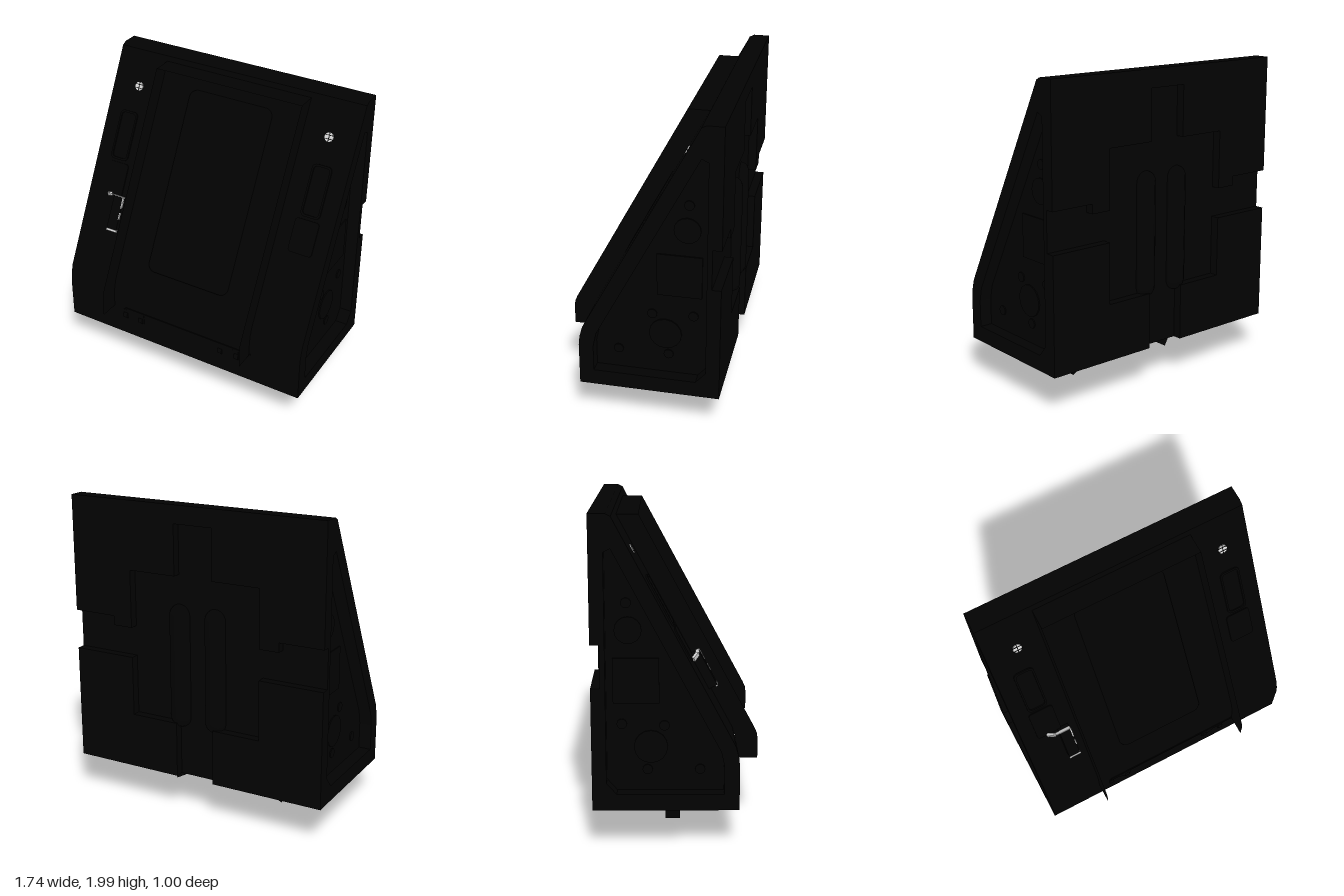
import * as THREE from 'three';

const mat = (name, color, side = THREE.FrontSide) => {
  const m = new THREE.MeshStandardMaterial({ color, side });
  m.name = name;
  return m;
};

export function createModel() {
  const black = mat('black', 0x020202);
  const blackSheet = mat('black sheet', 0x020202, THREE.DoubleSide);
  const light = mat('light grey', 0xd4d4d4);
  const root = new THREE.Group();

  const add = (name, geo, m = black, parent = root) => {
    const mesh = new THREE.Mesh(geo, m);
    mesh.name = name;
    parent.add(mesh);
    return mesh;
  };
  const poly = (pts) => new THREE.Shape(pts.map(([a, b]) => new THREE.Vector2(a, b)));
  const extrude = (shape, depth) =>
    new THREE.ExtrudeGeometry(shape, { depth, bevelEnabled: false, curveSegments: 8 });
  // extrude a (z, y) profile along x, centred on cx
  const acrossX = (shape, width, cx) =>
    extrude(shape, width).rotateY(-Math.PI / 2).translate(cx + width / 2, 0, 0);
  const roundRect = (w, h, r) => {
    const s = new THREE.Shape();
    s.moveTo(-w / 2 + r, -h / 2);
    s.absarc(w / 2 - r, -h / 2 + r, r, -Math.PI / 2, 0);
    s.absarc(w / 2 - r, h / 2 - r, r, 0, Math.PI / 2);
    s.absarc(-w / 2 + r, h / 2 - r, r, Math.PI / 2, Math.PI);
    s.absarc(-w / 2 + r, -h / 2 + r, r, Math.PI, Math.PI * 1.5);
    return s;
  };

  // sloping front: z as a function of y, and a mount whose local z is the slope normal
  const slope = 0.533;
  const slopeZ = (y) => -0.35 + (1.95 - y) * slope;
  const stretch = Math.hypot(1, slope);
  const mount = (name, x, y) => {
    const g = new THREE.Group();
    g.name = name;
    g.position.set(x, y, slopeZ(y));
    g.rotation.x = -Math.atan(slope);
    root.add(g);
    return g;
  };

  // wedge housing
  const front = [[0.37, 0.52], [0.363, 0.58], [0.345, 0.645], [-0.35, 1.95], [-0.365, 1.98], [-0.395, 1.995], [-0.44, 1.995]];
  add('housing', acrossX(poly([[-0.44, 0.34], [0.37, 0.34], ...front]), 1.58, 0));

  // underside slab with an octagonal well
  const base = poly([[-0.79, -0.44], [0.79, -0.44], [0.79, 0.37], [-0.79, 0.37]]);
  const well = [];
  for (let i = 0; i < 8; i++) {
    const a = (i + 0.5) * Math.PI / 4;
    well.push(new THREE.Vector2(0.405 * Math.cos(a), -0.05 + 0.405 * Math.sin(a)));
  }
  base.holes.push(new THREE.Path(well));
  add('base', extrude(base, 0.09).rotateX(Math.PI / 2).translate(0, 0.34, 0));

  // side frames around sunken panels, with small panel fittings
  for (const s of [1, -1]) {
    const frame = poly([[-0.44, 0.25], [0.37, 0.25], ...front]);
    frame.holes.push(poly([[0.28, 0.35], [0.28, 0.52], [0.26, 0.61], [-0.37, 1.8], [-0.41, 1.78], [-0.41, 0.42], [-0.35, 0.35]]));
    add('sideFrame', acrossX(frame, 0.08, s * 0.83));
    for (const [z, y, r] of [[-0.29, 1.48, 0.03], [-0.28, 1.32, 0.08], [-0.07, 0.75, 0.03], [0.14, 0.48, 0.03], [-0.17, 0.48, 0.03], [-0.32, 0.76, 0.03], [-0.15, 0.62, 0.1]]) {
      const disc = add('sideFitting', new THREE.CylinderGeometry(r, r, 0.016, 16).rotateZ(Math.PI / 2));
      disc.position.set(s * 0.79, y, z);
    }
    const hatch = add('sideHatch', new THREE.BoxGeometry(0.016, 0.27, 0.27));
    hatch.position.set(s * 0.79, 1.02, -0.235);
  }

  // back plates leaving a cross-shaped sunken area
  const upper = poly([
    [-0.87, 1.995], [-0.87, 1.25], [-0.58, 1.25], [-0.58, 1.19], [-0.45, 1.19], [-0.45, 1.56], [-0.13, 1.56], [-0.13, 1.88],
    [0.13, 1.88], [0.13, 1.56], [0.45, 1.56], [0.45, 1.19], [0.58, 1.19], [0.58, 1.25], [0.87, 1.25], [0.87, 1.995],
  ]);
  add('upperBackPlate', extrude(upper, 0.055).translate(0, 0, -0.495));
  for (const s of [1, -1]) {
    const lower = poly([[0.13, 0.25], [0.87, 0.25], [0.87, 0.995], [0.45, 0.995], [0.45, 0.61], [0.13, 0.61]].map(([x, y]) => [s * x, y]));
    add('lowerBackPlate', extrude(lower, 0.055).translate(0, 0, -0.495));
    const rib = add('backRib', new THREE.CapsuleGeometry(0.07, 0.66, 6, 12));
    rib.position.set(s * 0.125, 0.975, -0.44);
    rib.scale.z = 0.78;
  }

  // raised surround in the middle of the slope, open at the front
  const cheek = poly([[-0.4, 1.95], [-0.22, 1.95], [0.48, 0.645], [0.495, 0.61], [0.5, 0.57], [0.5, 0.45], [0.36, 0.45], [0.36, 0.6]]);
  for (const s of [1, -1]) {
    const wall = add('surroundCheek', new THREE.ShapeGeometry(cheek).rotateY(-Math.PI / 2), blackSheet);
    wall.position.x = s * 0.515;
  }
  const lid = add('surroundTop', new THREE.PlaneGeometry(1.03, 0.14), blackSheet);
  lid.rotation.x = -Math.PI / 2;
  lid.position.set(0, 1.95, -0.29);
  const sill = add('surroundBottom', new THREE.PlaneGeometry(1.03, 0.13));
  sill.rotation.x = Math.PI / 2;
  sill.position.set(0, 0.45, 0.435);

  // pillowed inner panel on the slope
  const pillow = new THREE.ExtrudeGeometry(roundRect(0.52, 1.01 * stretch, 0.02), {
    depth: 0.002, bevelThickness: 0.03, bevelSize: 0.035, bevelSegments: 4, curveSegments: 6,
  });
  add('innerPanel', pillow, black, mount('innerPanelMount', 0, 1.3));

  // latches with pockets, and round lamps with dark cross bars
  for (const s of [1, -1]) {
    const latch = mount('latch', s * 0.7, 1.475);
    const rim = roundRect(0.13, 0.29 * stretch, 0.03);
    rim.holes.push(roundRect(0.106, 0.265 * stretch, 0.022));
    add('latchRim', extrude(rim, 0.01), black, latch);
    add('latchPocket', extrude(roundRect(0.16, 0.19 * stretch, 0.02), 0.008), black, mount('pocket', s * 0.695, 1.22));

    const lamp = mount('lamp', s > 0 ? 0.69 : -0.675, 1.772);
    add('lampLens', new THREE.CylinderGeometry(0.029, 0.029, 0.012, 16).rotateX(Math.PI / 2), light, lamp);
    for (const o of [-0.012, 0.012]) {
      add('lampBar', new THREE.BoxGeometry(0.06, 0.004, 0.016), black, lamp).position.y = o;
    }
    add('lampBar', new THREE.BoxGeometry(0.004, 0.06, 0.016), black, lamp);
  }

  // catch block with worn light edges: top, outer side and foot
  const block = mount('catchBlock', -0.605, 1.055);
  add('catch', new THREE.BoxGeometry(0.074, 0.23, 0.11), black, block).position.y = -0.03;
  for (const [x, y, z, w, h, d] of [
    [-0.012, 0.086, 0.044, 0.1, 0.004, 0.024],
    [0.036, 0.05, 0.053, 0.008, 0.075, 0.01],
    [0.036, -0.04, 0.053, 0.006, 0.045, 0.01],
    [0.002, -0.146, 0.05, 0.078, 0.014, 0.014],
  ]) {
    add('catchEdge', new THREE.BoxGeometry(w, h, d), light, block).position.set(x, y, z);
  }
  const arm = add('catchArm', new THREE.BoxGeometry(0.055, 0.026, 0.018), light);
  arm.position.set(-0.692, 1.138, 0.112);
  arm.rotation.set(0, -0.6, 0.5);

  // hinge line, leaves and knuckles below the surround
  add('hingeBar', new THREE.BoxGeometry(0.95, 0.012, 0.012)).position.set(0.05, 0.457, 0.37);
  for (const s of [1, -1]) {
    const leaf = poly([[0.44, 0.45], [0.28, 0.45], [0.28, 0.38], [0.32, 0.38], [0.37, 0.425], [0.44, 0.425]].map(([x, y]) => [s * x, y]));
    // the mirrored outline is rewound by the extrusion
    add('hingeLeaf', extrude(leaf, 0.008).translate(0, 0, 0.367));
    for (const x of [0.305, 0.425]) {
      const knuckle = add('hingeKnuckle', new THREE.CylinderGeometry(0.025, 0.025, 0.03, 12));
      knuckle.rotation.z = Math.PI / 2;
      knuckle.position.set(s * x, 0.4, 0.36);
    }
    // tilted feet
    const foot = add('foot', new THREE.BoxGeometry(0.088, 0.086, 0.09));
    foot.position.set(s * 0.383, 0.063, -0.02);
    foot.rotation.z = -s * Math.PI / 6;
  }
  return root;
}
